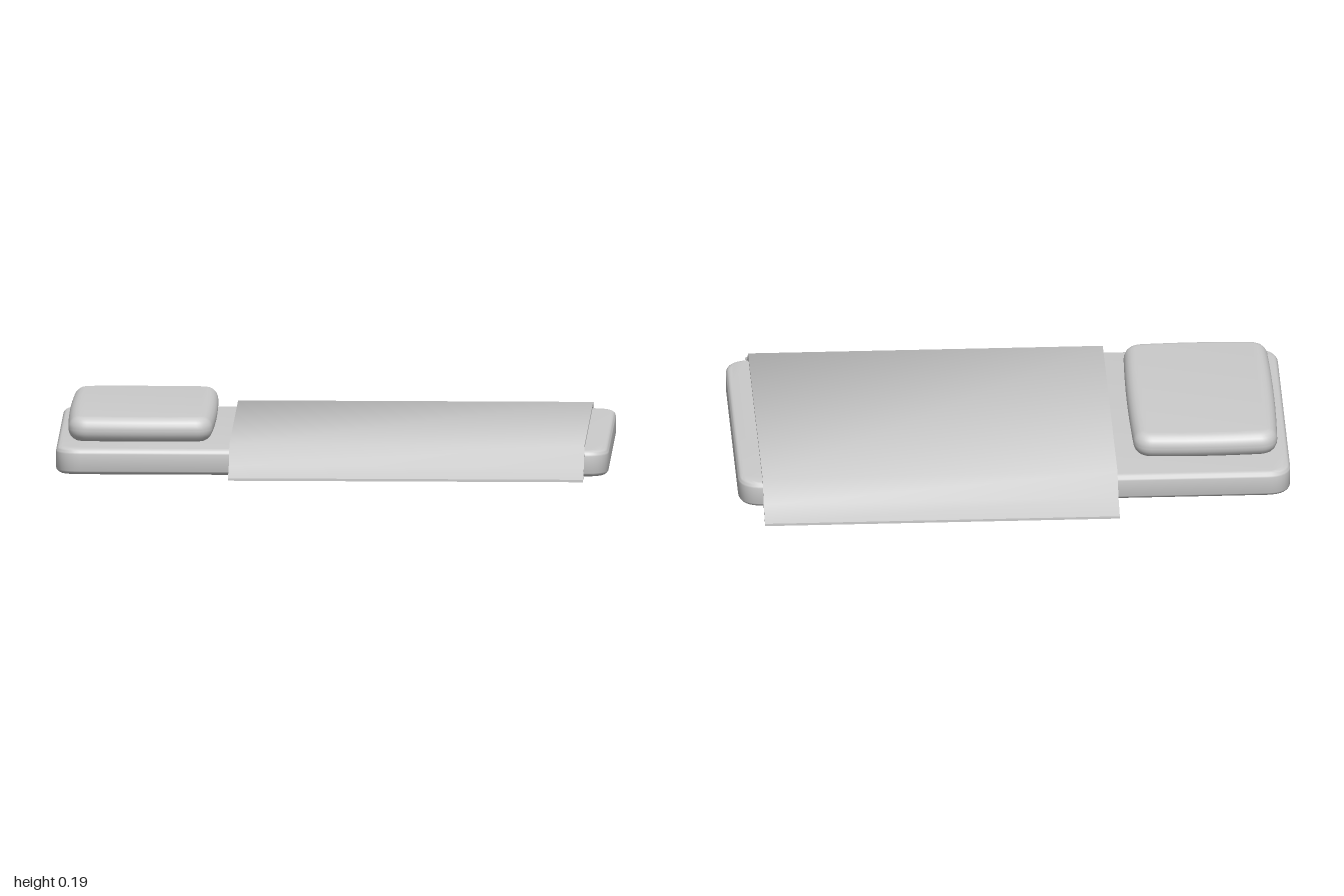
import * as THREE from 'three';
import { toCreasedNormals } from 'three/addons/utils/BufferGeometryUtils.js';

const grey = new THREE.MeshStandardMaterial({ color: 0xcccccc, side: THREE.DoubleSide });

// Rounded rectangle (half sizes hx, hy) whose sides may bulge outward a little
function roundedOutline(hx, hy, r, bulge) {
  const s = new THREE.Shape();
  const x = hx - bulge, y = hy - bulge;
  s.moveTo(-x + r, -y);
  s.quadraticCurveTo(0, -y - 2 * bulge, x - r, -y);
  s.quadraticCurveTo(x, -y, x, -y + r);
  s.quadraticCurveTo(x + 2 * bulge, 0, x, y - r);
  s.quadraticCurveTo(x, y, x - r, y);
  s.quadraticCurveTo(0, y + 2 * bulge, -x + r, y);
  s.quadraticCurveTo(-x, y, -x, y - r);
  s.quadraticCurveTo(-x - 2 * bulge, 0, -x, -y + r);
  s.quadraticCurveTo(-x, -y, -x + r, -y);
  return s;
}

// Flat cushion lying on y = 0 with a rounded rim
function cushion(name, hx, hz, height, corner, rim, rimHeight, bulge) {
  const g = new THREE.ExtrudeGeometry(roundedOutline(hx - rim, hz - rim, corner, bulge), {
    depth: height - 2 * rimHeight, bevelEnabled: true, bevelSize: rim,
    bevelThickness: rimHeight, bevelSegments: 5, curveSegments: 8,
  });
  g.translate(0, 0, rimHeight);
  g.rotateX(-Math.PI / 2);
  const mesh = new THREE.Mesh(toCreasedNormals(g, 0.7), grey);
  mesh.name = name;
  return mesh;
}

// Thin sheet lying over the mattress and flaring out at both sides
function blanket() {
  const half = [[0.53, 0.115], [0.605, 0.046], [0.705, 0.017]];
  const t = 0.009;
  const top = [...half.map(([z, y]) => [-z, y]).reverse(), ...half];
  const under = top.map(([z, y]) => [z, y - t]).reverse();
  const shape = new THREE.Shape([...top, ...under].map(([z, y]) => new THREE.Vector2(z, y)));
  const length = 1.285;
  const g = new THREE.ExtrudeGeometry(shape, { depth: length, bevelEnabled: false });
  g.translate(0, 0, -length / 2);
  g.rotateY(Math.PI / 2);
  const mesh = new THREE.Mesh(toCreasedNormals(g, 1.0), grey);
  mesh.name = 'blanket';
  mesh.position.x = 0.2725;
  return mesh;
}

export function createModel() {
  const bed = new THREE.Group();
  bed.name = 'bedding';

  const mattress = cushion('mattress', 1, 0.53, 0.095, 0.07, 0.02, 0.02, 0);

  const pillow = cushion('pillow', 0.267, 0.417, 0.09, 0.03, 0.04, 0.043, 0.006);
  pillow.position.set(-0.697, 0.1, 0);

  bed.add(mattress, pillow, blanket());
  return bed;
}
